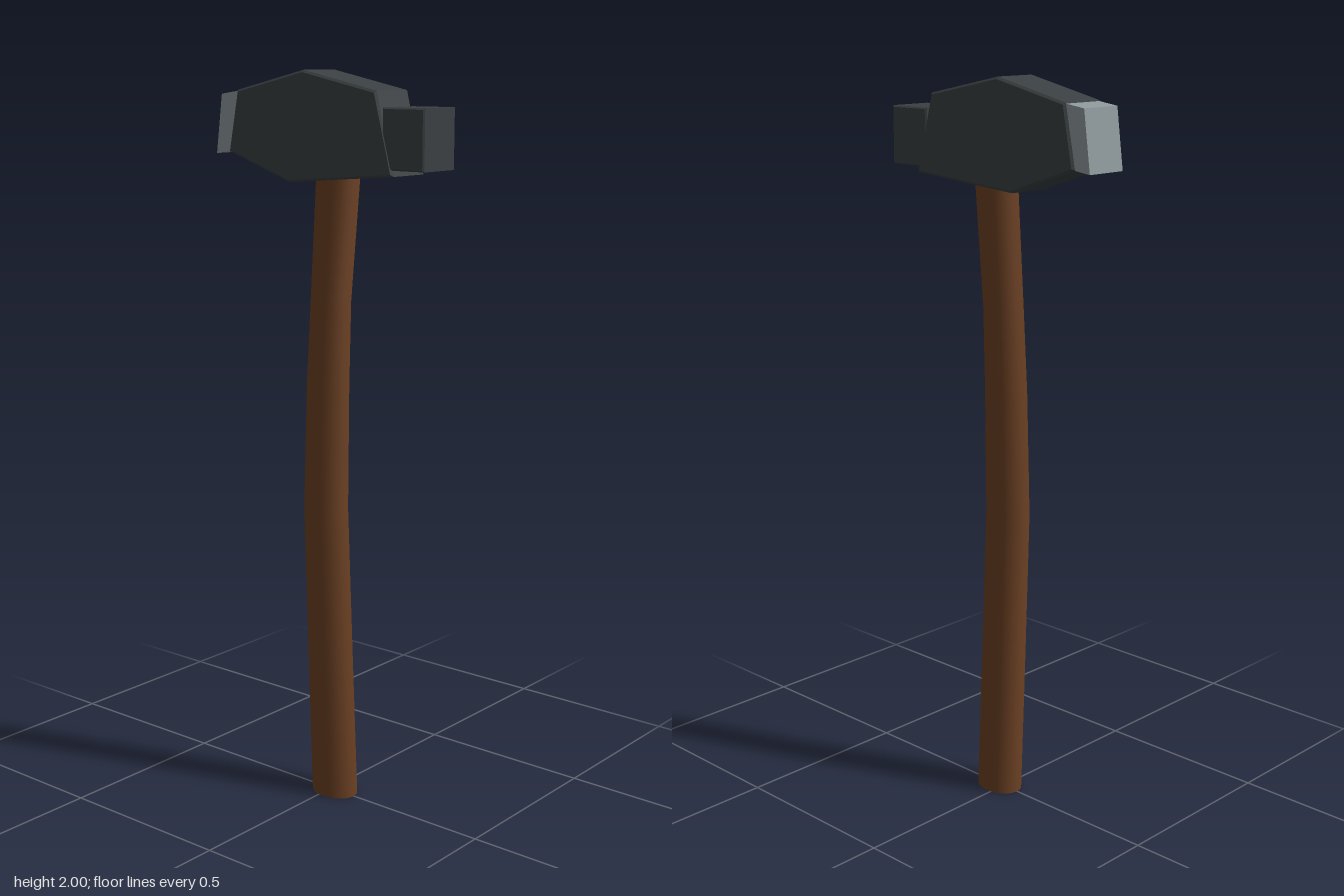
import * as THREE from 'three';

const steel = new THREE.MeshStandardMaterial({ color: 0x3b4042 });
const polished = new THREE.MeshStandardMaterial({ color: 0x8f999c });
const wood = new THREE.MeshStandardMaterial({ color: 0x6b4023 });

// Extrude a (z, y) side profile across x, with a small bevel kept inside the outline
function slab(name, profile, halfWidth, bevel, material) {
  const shape = new THREE.Shape(profile.map(([z, y]) => new THREE.Vector2(z, y)));
  const depth = 2 * (halfWidth - bevel);
  const geometry = new THREE.ExtrudeGeometry(shape, {
    depth, bevelEnabled: bevel > 0, bevelSize: bevel, bevelThickness: bevel,
    bevelOffset: -bevel, bevelSegments: 1,
  });
  geometry.translate(0, 0, -depth / 2).rotateY(-Math.PI / 2);
  const mesh = new THREE.Mesh(geometry, material);
  mesh.name = name;
  return mesh;
}

// Handle: a capped cylinder whose rings follow a gently bent oval section
function makeHandle() {
  // y, centre z, half width x, half depth z
  const rings = [
    [0, 0.015, 0.054, 0.069],
    [0.4, -0.001, 0.054, 0.067],
    [0.83, -0.017, 0.053, 0.065],
    [1.17, -0.01, 0.052, 0.061],
    [1.4, 0.0, 0.05, 0.057],
    [1.8, 0.03, 0.049, 0.064],
  ];
  const last = rings.length - 1;
  const geometry = new THREE.CylinderGeometry(1, 1, last, 24, last);
  const p = geometry.attributes.position;
  for (let i = 0; i < p.count; i++) {
    const [y, cz, rx, rz] = rings[Math.round(p.getY(i) + last / 2)];
    p.setXYZ(i, p.getX(i) * rx, y, cz + p.getZ(i) * rz);
  }
  const n = geometry.attributes.normal;
  for (let i = 0; i < n.count; i++) {
    // Oval normals on the side, straight ones on the caps
    if (Math.abs(n.getY(i)) < 0.5) {
      const v = new THREE.Vector3(n.getX(i) / 0.052, 0, n.getZ(i) / 0.064).normalize();
      n.setXYZ(i, v.x, v.y, v.z);
    }
  }
  const mesh = new THREE.Mesh(geometry, wood);
  mesh.name = 'handle';
  return mesh;
}

export function createModel() {
  const group = new THREE.Group();
  group.name = 'hammer';

  const head = new THREE.Group();
  head.name = 'head';
  head.add(
    // Main body
    slab('headBody', [[0.2, 1.95], [-0.04, 2.0], [-0.27, 1.947], [-0.302, 1.785],
      [-0.09, 1.712], [0.255, 1.74]].reverse(), 0.068, 0.006, steel),
    // Square peg at the front
    slab('frontPeg', [[0.22, 1.755], [0.35, 1.755], [0.35, 1.91], [0.22, 1.91]], 0.066, 0.004, steel),
    // Polished striking face at the back
    slab('strikingFace', [[-0.26, 1.946], [-0.29, 1.786], [-0.35, 1.778], [-0.329, 1.936]].reverse(),
      0.062, 0, polished),
  );

  group.add(head, makeHandle());
  return group;
}
